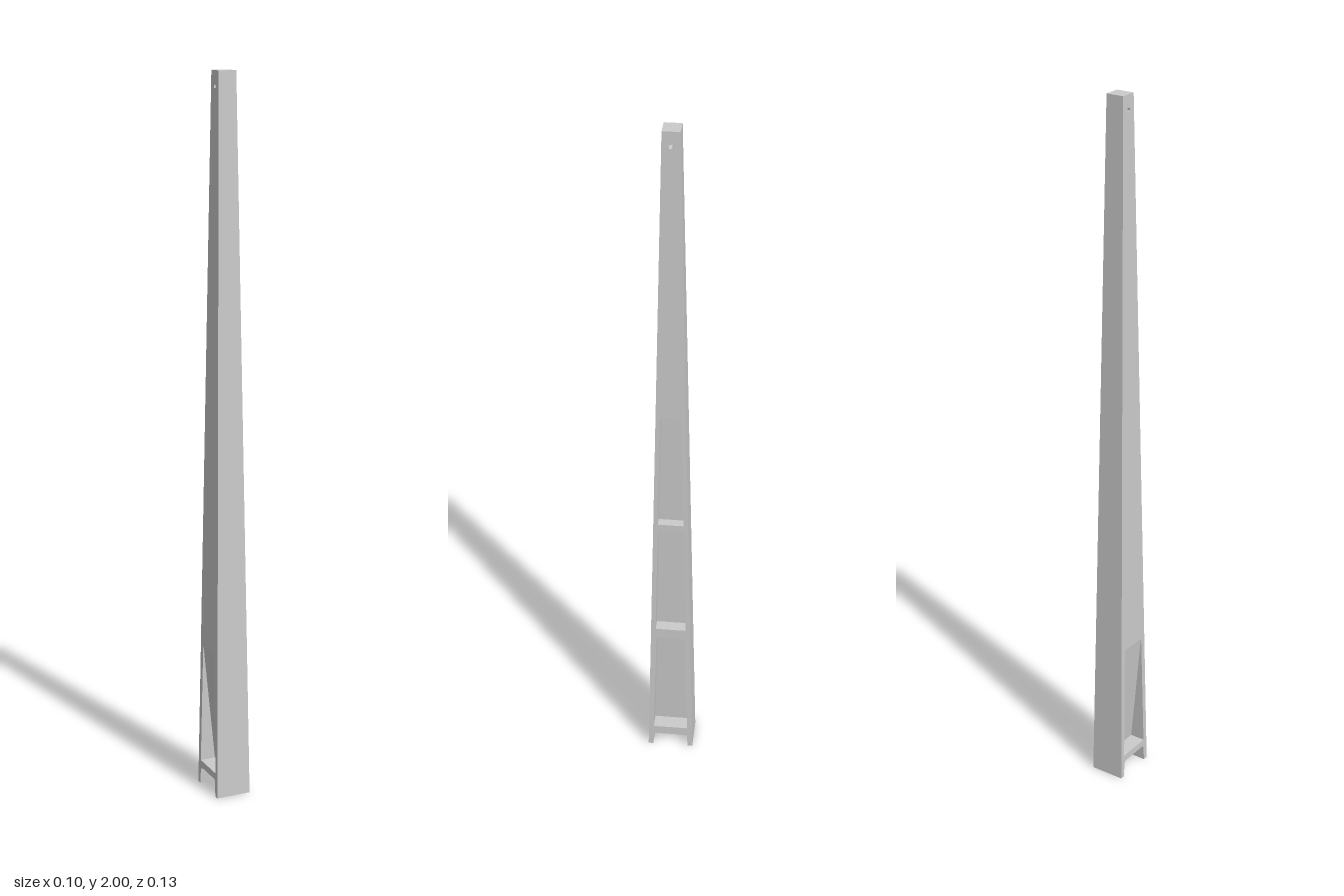
import * as THREE from 'three';

const H = 2;
const lerp = THREE.MathUtils.lerp;
const halfX = (y) => lerp(0.05, 0.025, y / H);
const halfZ = (y) => lerp(0.066, 0.023, y / H);
const NOTCH = { w0: 0.052, w1: 0.049, y0: 0, y1: 0.05, d0: 0.044, d1: 0.044, open: true };

// Recess outline, counter-clockwise seen from outside, with clipped top corners
function outline({ w0, w1, y0, y1 }) {
  const c = 0.006;
  return [[-w0, y0], [w0, y0], [w1, y1 - c], [w1 - c, y1], [c - w1, y1], [-w1, y1 - c]]
    .map(([u, y]) => new THREE.Vector2(u, y));
}

function fromPoints(points) {
  const g = new THREE.BufferGeometry().setFromPoints(points);
  g.computeVertexNormals();
  return g;
}

const quad = (a, b, c, d) => [a, b, c, a, c, d];

// Flat shape pushed onto a tapered side, at a given depth below it
function skin(shape, place, depth) {
  const g = new THREE.ShapeGeometry(shape).toNonIndexed();
  const p = g.attributes.position;
  const pts = [];
  for (let i = 0; i < p.count; i++) pts.push(place(p.getX(i), p.getY(i), depth(p.getY(i))));
  return fromPoints(pts);
}

export function createModel() {
  const pole = new THREE.Group();
  pole.name = 'taperedPole';
  const material = new THREE.MeshStandardMaterial({ color: 0xcccccc, flatShading: true });
  const add = (name, geometry) => {
    const mesh = new THREE.Mesh(geometry, material);
    mesh.name = name;
    pole.add(mesh);
  };

  // Side face with its recesses and the bolt hole
  function addSide(name, sign, pockets) {
    const place = (u, y, d) => new THREE.Vector3(sign * (halfX(y) - d), y, -sign * u);
    const b = halfZ(0), t = halfZ(H);
    const n = outline(NOTCH);
    const face = new THREE.Shape([
      new THREE.Vector2(-b, 0), n[0], n[5], n[4], n[3], n[2], n[1],
      new THREE.Vector2(b, 0), new THREE.Vector2(t, H), new THREE.Vector2(-t, H),
    ]);

    const addPocket = (label, loop, depth, open, hasFloor) => {
      const walls = [];
      loop.forEach((p, i) => {
        if (open && i === 0) return;
        const q = loop[(i + 1) % loop.length];
        walls.push(...quad(place(p.x, p.y, 0), place(q.x, q.y, 0),
          place(q.x, q.y, depth(q.y)), place(p.x, p.y, depth(p.y))));
      });
      add(label + 'Walls', fromPoints(walls));
      if (hasFloor) add(label + 'Floor', skin(new THREE.Shape(loop), place, depth));
      if (!open) face.holes.push(new THREE.Path(loop));
    };

    [NOTCH, ...pockets].forEach((s, i) => {
      const depth = (y) => lerp(s.d0, s.d1, (y - s.y0) / (s.y1 - s.y0));
      addPocket(`${name}Recess${i}`, outline(s), depth, s.open, true);
    });

    const bolt = [];
    for (let i = 0; i < 12; i++) {
      const a = (i / 12) * Math.PI * 2;
      bolt.push(new THREE.Vector2(0.006 * Math.cos(a), 1.96 + 0.006 * Math.sin(a)));
    }
    addPocket(name + 'BoltHole', bolt, halfX, false, false);
    add(name + 'Face', skin(face, place, () => 0));
  }

  addSide('left', 1, [
    { w0: 0.050, w1: 0.041, y0: 0.07, y1: 0.42, d0: 0.044, d1: 0.034 },
    { w0: 0.043, w1: 0.036, y0: 0.45, y1: 0.805, d0: 0.034, d1: 0.026 },
    { w0: 0.036, w1: 0.028, y0: 0.825, y1: 1.18, d0: 0.026, d1: 0.02 },
  ]);
  // The opposite side has one recess that runs out to the surface
  addSide('right', -1, [
    { w0: 0.050, w1: 0.041, y0: 0.07, y1: 0.42, d0: 0.044, d1: 0.0005 },
  ]);

  // Plain front and back faces
  for (const s of [1, -1]) {
    const at = (k, y) => new THREE.Vector3(k * s * halfX(y), y, s * halfZ(y));
    add(s > 0 ? 'frontFace' : 'backFace', fromPoints(quad(at(-1, 0), at(1, 0), at(1, H), at(-1, H))));
  }

  // Top cap
  const cap = new THREE.PlaneGeometry(2 * halfX(H), 2 * halfZ(H));
  add('topCap', cap.rotateX(-Math.PI / 2).translate(0, H, 0));

  // I-shaped foot
  const X = halfX(0), Z = halfZ(0), w = NOTCH.w0, web = X - NOTCH.d0;
  const foot = new THREE.Shape([
    [-X, -Z], [X, -Z], [X, -w], [web, -w], [web, w], [X, w],
    [X, Z], [-X, Z], [-X, w], [-web, w], [-web, -w], [-X, -w],
  ].map(([x, z]) => new THREE.Vector2(x, z)));
  add('foot', new THREE.ShapeGeometry(foot).rotateX(Math.PI / 2));

  return pole;
}
